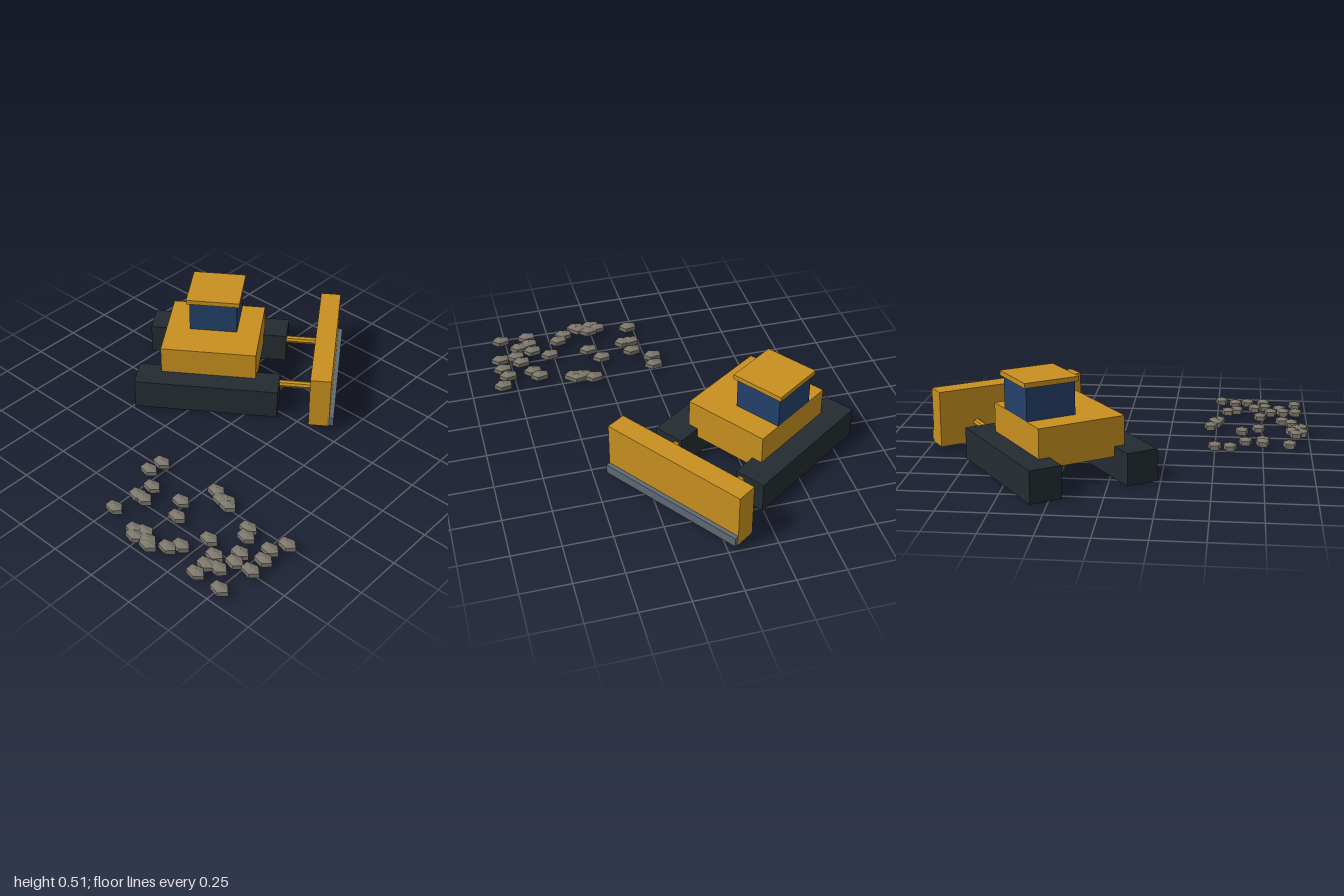
import * as THREE from 'three';

const mat = (color) => new THREE.MeshStandardMaterial({ color, flatShading: true });
const yellow = mat(0xc8901f), black = mat(0x242c31), glass = mat(0x23406a);
const steel = mat(0x5f6a72), stone = mat(0x7c776c);

function add(parent, name, geometry, material, x, y, z) {
  const mesh = new THREE.Mesh(geometry, material);
  mesh.name = name;
  mesh.position.set(x, y, z);
  parent.add(mesh);
  return mesh;
}

// Box given by its centre on the ground plane and its bottom and top heights
function block(parent, name, material, x, z, length, width, y0, y1) {
  return add(parent, name, new THREE.BoxGeometry(length, y1 - y0, width), material, x, (y0 + y1) / 2, z);
}

// Bulldozer, driving along its local +x
function createBulldozer() {
  const dozer = new THREE.Group();
  dozer.name = 'bulldozer';
  block(dozer, 'body', yellow, 0, 0, 0.513, 0.463, 0.113, 0.315);
  block(dozer, 'cab', glass, 0, -0.102, 0.259, 0.259, 0.315, 0.487);
  block(dozer, 'cabRoof', yellow, 0, -0.102, 0.289, 0.289, 0.485, 0.51);
  block(dozer, 'blade', yellow, 0.614, 0, 0.11, 0.82, 0.022, 0.317);
  block(dozer, 'cuttingEdge', steel, 0.676, 0, 0.032, 0.82, 0.03, 0.08);

  // Tracks and push arms on both sides
  for (const [side, s] of [['left', 1], ['right', -1]]) {
    block(dozer, side + 'Track', black, 0, s * 0.2585, 0.771, 0.167, 0, 0.165);
    const arm = new THREE.CylinderGeometry(0.02, 0.02, 0.31, 8).rotateZ(Math.PI / 2);
    add(dozer, side + 'PushArm', arm, yellow, 0.415, 0.127, s * 0.206);
  }
  dozer.position.set(-0.367, 0, -0.267);
  dozer.rotation.y = 0.605;
  return dozer;
}

// Scattered rubble, one flattened five-sided stone per [x, z]
const stones = [
  [-0.02, 0.50], [-0.03, 0.58], [0.07, 0.66], [0.06, 0.75], [0.10, 0.75], [0.04, 0.89],
  [0.25, 0.64], [0.31, 0.73], [0.33, 0.47], [0.39, 0.50], [0.42, 0.49], [0.44, 0.51],
  [0.53, 0.74], [0.62, 0.56], [0.65, 0.61], [0.83, 0.52], [0.79, 0.60], [0.81, 0.67],
  [0.81, 0.76], [0.70, 0.71], [0.72, 0.77], [0.62, 0.80], [0.63, 0.87], [0.69, 0.85],
  [0.63, 0.94], [0.78, 0.94], [0.46, 0.86], [0.42, 0.91], [0.22, 0.93], [0.27, 0.91],
  [0.25, 0.96], [0.32, 0.94], [0.34, 0.96],
];

function createRubble() {
  const rubble = new THREE.Group();
  rubble.name = 'rubble';
  const geometry = new THREE.SphereGeometry(1, 5, 3).rotateY(Math.PI).scale(0.06, 0.025, 0.042);
  for (const [x, z] of stones) add(rubble, 'stone', geometry, stone, x - 0.005, 0.037, z);
  return rubble;
}

export function createModel() {
  const model = new THREE.Group();
  model.name = 'bulldozerAndRubble';
  model.add(createBulldozer(), createRubble());
  return model;
}
